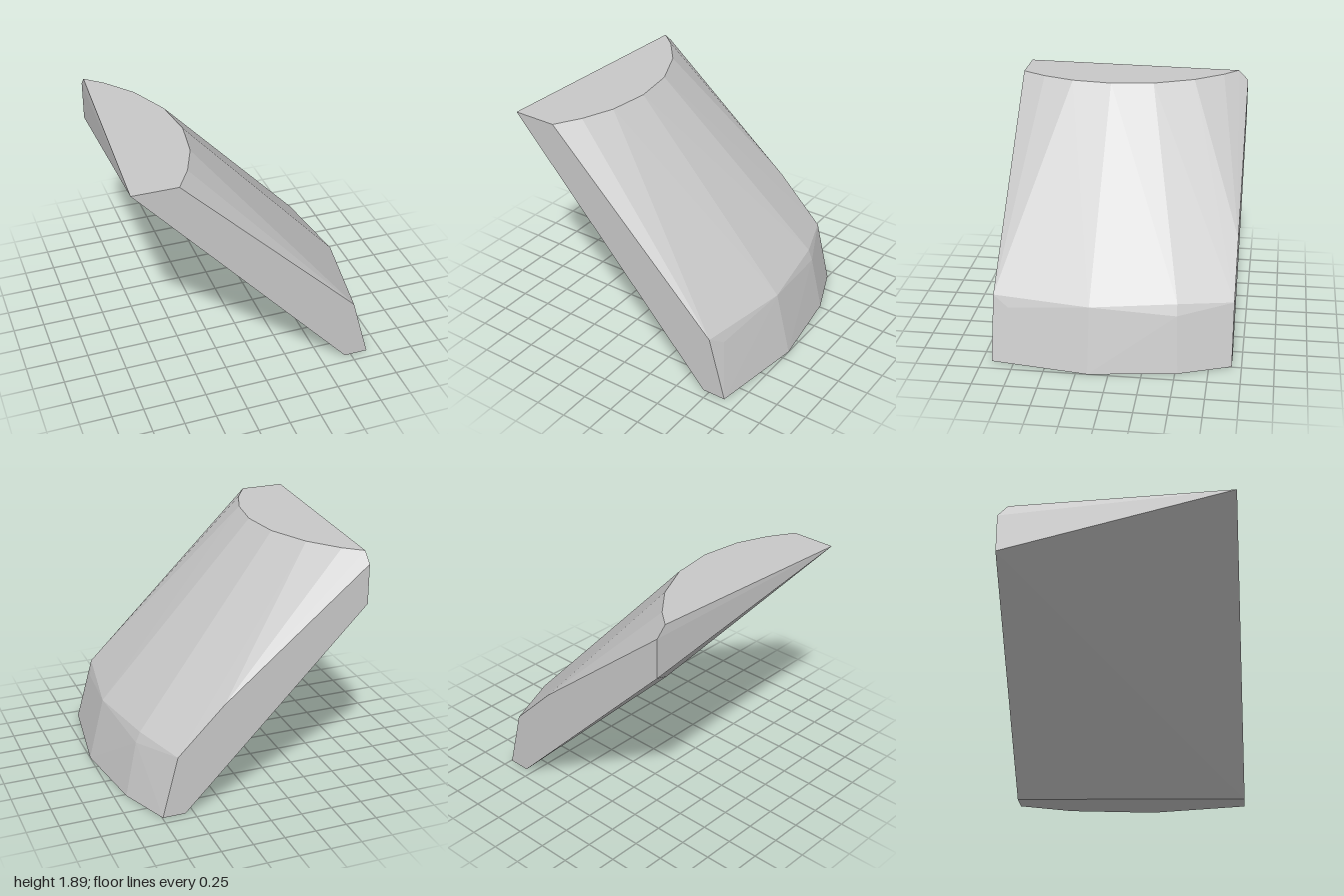
import * as THREE from 'three';
import { ConvexGeometry } from 'three/addons/geometries/ConvexGeometry.js';

export function createModel() {
  const model = new THREE.Group();
  model.name = 'slantedStone';
  const stone = new THREE.MeshStandardMaterial({ color: 0xc8c8c8, flatShading: true });
  stone.name = 'stoneGrey';

  // Flat crown, as [x, z] at the top level
  const crown = [
    [-1, 0.925], [-0.65, 0.925], [-0.53, 0.73], [-0.43, 0.48], [-0.385, 0.16],
    [-0.43, -0.18], [-0.575, -0.5], [-0.76, -0.73], [-0.895, -0.845],
  ].map(([x, z]) => [x, 1.89, z]);

  // Flat foot, as [x, z] on the ground
  const foot = [
    [0.565, -0.925], [0.745, -0.925], [0.905, -0.52], [1, 0.16], [0.89, 0.925], [0.7, 0.925],
  ].map(([x, z]) => [x, 0, z]);

  // Shoulder where the slope bends down to the foot
  const shoulder = [
    [0.75, 0.505, 0.925], [0.8, 0.425, 0.8], [0.875, 0.505, 0.16],
    [0.775, 0.525, -0.5], [0.81, 0.44, -0.5], [0.62, 0.49, -0.925],
  ];

  // Corners of the cut back face
  const back = [[-0.895, 1.81, -0.925], [-0.895, 1.495, -0.925], [0.25, 0.86, -0.925]];

  // The faceted block wraps all of its corners
  const corners = [...crown, ...foot, ...shoulder, ...back].map((p) => new THREE.Vector3(...p));
  const block = new THREE.Mesh(new ConvexGeometry(corners), stone);
  block.name = 'stoneBlock';
  model.add(block);
  return model;
}
